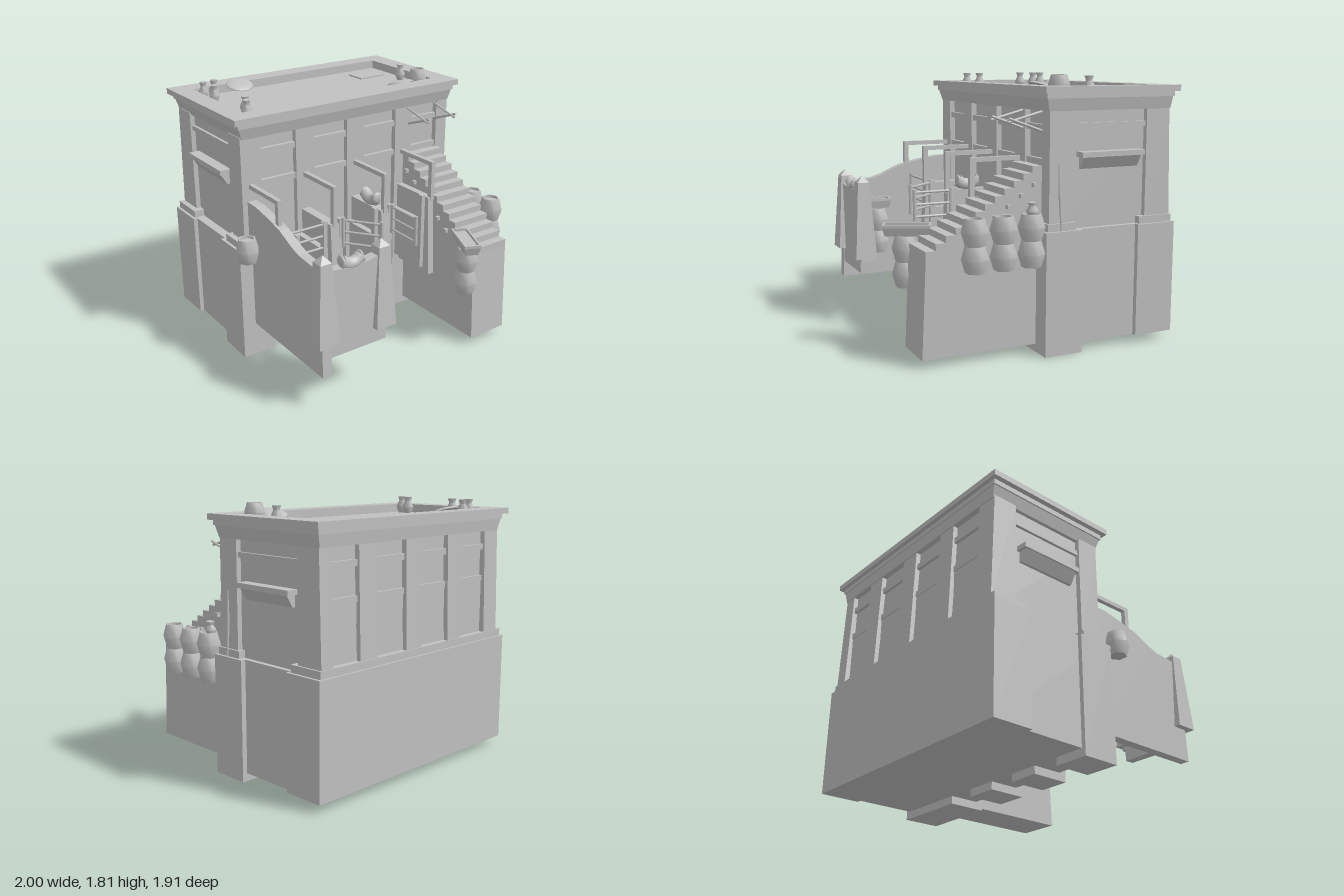
import * as THREE from 'three';
import { toCreasedNormals } from 'three/addons/utils/BufferGeometryUtils.js';

export function createModel() {
  const root = new THREE.Group();
  root.name = 'house';
  const clay = new THREE.MeshStandardMaterial({ color: 0xc0c0c0 });
  clay.name = 'pale clay';

  function add(name, geo, parent = root) {
    const m = new THREE.Mesh(geo, clay);
    m.name = name;
    parent.add(m);
    return m;
  }

  // Block between two rectangles [x0, x1, z0, z1], so it can taper
  function block(name, y0, y1, low, high = low, parent = root) {
    const g = new THREE.BoxGeometry(1, 1, 1);
    const p = g.attributes.position;
    for (let i = 0; i < p.count; i++) {
      const up = p.getY(i) > 0;
      const r = up ? high : low;
      p.setXYZ(i, p.getX(i) < 0 ? r[0] : r[1], up ? y1 : y0, p.getZ(i) < 0 ? r[2] : r[3]);
    }
    g.computeVertexNormals();
    return add(name, g, parent);
  }

  // Side profile of [z, y] points, extruded along x
  function slab(name, pts, x0, x1) {
    const s = new THREE.Shape(pts.map(([z, y]) => new THREE.Vector2(z, y)));
    const g = new THREE.ExtrudeGeometry(s, { depth: x1 - x0, bevelEnabled: false });
    g.rotateY(-Math.PI / 2).translate(x1, 0, 0);
    return add(name, g);
  }

  function stick(name, a, b, r0, r1 = r0, sides = 6) {
    const A = new THREE.Vector3(...a), B = new THREE.Vector3(...b);
    const m = add(name, new THREE.CylinderGeometry(r1, r0, A.distanceTo(B), sides));
    m.position.copy(A).add(B).multiplyScalar(0.5);
    m.quaternion.setFromUnitVectors(new THREE.Vector3(0, 1, 0), B.sub(A).normalize());
    return m;
  }

  function lathe(name, pts, x, y, z) {
    const g = new THREE.LatheGeometry(pts.map(([r, h]) => new THREE.Vector2(r, h)), 6);
    g.rotateY(Math.PI / 6);
    add(name, toCreasedNormals(g, 1.1)).position.set(x, y, z);
  }
  const barrel = (x, y, z, r = 0.088, h = 0.17) => lathe('barrel',
    [[0, 0], [r * 0.72, 0], [r, h * 0.5], [r * 0.72, h], [r * 0.6, h], [r * 0.58, h - 0.02], [0, h - 0.02]], x, y, z);
  const pot = (x, y, z, r = 0.042, h = 0.12) => lathe('smallPot',
    [[0, 0], [r * 0.6, 0], [r, h * 0.4], [r * 0.5, h * 0.75], [r * 0.72, h], [0, h]], x, y, z);

  // Base with piers, front feet and a ledge
  block('baseCore', 0.055, 0.82, [-0.9, 0.9, -0.93, -0.02]);
  block('baseBack', 0.055, 0.82, [-0.93, 0.935, -0.95, -0.66]);
  for (const [a, b] of [[-0.93, -0.68], [-0.48, -0.26], [-0.055, 0.17], [0.38, 0.935]])
    block('basePier', 0, 0.82, [a, b, -0.235, 0.035]);
  block('ledgeBack', 0.82, 0.87, [-0.91, 0.915, -0.935, -0.68]);
  block('ledgeLeftFront', 0.82, 0.87, [0.6, 0.915, -0.19, 0.015]);
  block('ledgeRightFront', 0.82, 0.87, [-0.91, -0.7, -0.19, 0.015]);

  // Upper storey: recessed core, pilasters and cross beams
  block('upperCore', 0.8, 1.6, [-0.835, 0.865, -0.875, -0.04]);
  const pilasters = [[-0.87, -0.72], [-0.445, -0.3], [-0.02, 0.13], [0.41, 0.565], [0.8, 0.9]];
  pilasters.forEach(([a, b], i) => {
    const corner = i === 0 || i === 4;
    block('frontPilaster', 0.8, 1.6, [a, b, corner ? -0.165 : -0.06, 0]);
    block('backPilaster', 0.82, 1.6, [a, b, corner ? -0.73 : -0.9, -0.93].map((v, k, r) => k < 2 ? v : r[5 - k]),
      [a, b, -0.908, corner ? -0.73 : -0.87]);
  });
  for (const y of [1.235, 1.455]) {
    block('frontBeam', y, y + 0.04, [-0.8, 0.85, -0.06, -0.012]);
    block('backBeam', y, y + 0.04, [-0.8, 0.85, -0.897, -0.86]);
  }
  block('backLowerPanel', 0.82, 1.235, [-0.8, 0.85, -0.89, -0.86]);

  // Side beams and window hoods
  for (const [x, s] of [[0.865, 1], [-0.835, -1]]) {
    const span = (d0, d1) => s > 0 ? [x + d0, x + d1] : [x - d1, x - d0];
    block('sideBeam', 1.47, 1.505, [...span(-0.02, 0.02), -0.74, -0.16]);
    block('sideHoodTop', 1.288, 1.322, [...span(-0.02, 0.08), -0.69, -0.215]);
    block('sideHoodUnderside', 1.21, 1.288, [...span(-0.02, 0.02), -0.67, -0.235], [...span(-0.02, 0.068), -0.67, -0.235]);
  }

  // Cornice, roof floor and open rim
  block('cornice', 1.585, 1.68, [-0.86, 0.9, -0.915, 0.005], [-0.89, 0.92, -0.925, 0.03]);
  function rim(name, x0, x1, z0, z1, y, h) {
    const rect = (C, a, b, c, d) => new C([[a, c], [b, c], [b, d], [a, d]].map(p => new THREE.Vector2(...p)));
    const s = rect(THREE.Shape, x0, x1, -z1, -z0);
    s.holes.push(rect(THREE.Path, -0.79, 0.81, 0.085, 0.815));
    add(name, new THREE.ExtrudeGeometry(s, { depth: h, bevelEnabled: false }).rotateX(-Math.PI / 2).translate(0, y, 0));
  }
  rim('corniceBand', -0.895, 0.925, -0.93, 0.033, 1.665, 0.035);
  rim('roofRim', -0.93, 0.955, -0.957, 0.058, 1.7, 0.04);
  block('roofHatch', 1.68, 1.69, [0.5, 0.72, -0.71, -0.55]);

  // Roof pots and leaning baskets
  for (const [x, z] of [[-0.74, -0.75], [-0.65, -0.765], [-0.72, -0.62], [-0.685, -0.24], [-0.725, -0.15], [0.745, -0.375]])
    pot(x, 1.68, z);
  barrel(0.735, 1.68, -0.155, 0.072, 0.13);
  for (const [x, z, s] of [[-0.44, -0.77, 1], [0.555, -0.13, -1]]) {
    const g = new THREE.SphereGeometry(0.105, 14, 5, 0, Math.PI * 2, 0, Math.PI / 2).scale(1, 0.22, 0.87);
    const m = add('basket', g);
    const cap = add('basketUnderside', new THREE.CircleGeometry(0.105, 14).rotateX(Math.PI / 2).scale(1, 1, 0.87), m);
    cap.position.y = 0;
    m.position.set(x, 1.73, z);
    m.rotation.x = s * 0.3;
  }

  // Stairs with side pegs
  const steps = 12, run = 0.8 / steps, rise = 0.535 / steps;
  const profile = [[0, 0.055], [0.83, 0.055], [0.8, 0.7]];
  for (let i = 0; i < steps; i++) {
    const z = 0.8 - i * run, y = 0.7 + (i + 1) * rise;
    profile.push([z, y], [z - run, y]);
  }
  slab('stairs', profile, 0.49, 0.8);
  for (let i = 0; i < 6; i++) {
    const z = 0.06 + i * 0.092, y = 1.115 - i * 0.064;
    block('stairPeg', y - 0.013, y + 0.013, [0.465, 0.83, z - 0.013, z + 0.013]);
  }

  // Fins in front of each pier, with post and beam
  [-0.8, -0.375, 0.05, 0.475].forEach((x, i) => {
    if (i) {
      slab('fin', [[0, 0.4], [0.39, 0.4], [0.355, 1], [0, 1]], x - 0.033, x + 0.033);
      for (const s of [-1, 1]) {
        block('gatePost', 0.45, 1.02, [x + s * 0.063 - 0.015, x + s * 0.063 + 0.015, 0.3, 0.34]);
        block('gatePostFoot', 0.45, 0.82, [x + s * 0.055 - 0.022, x + s * 0.055 + 0.022, 0, 0.32]);
      }
    }
    block('beamPost', 0.98, 1.27, [x - 0.016, x + 0.016, 0.33, 0.365]);
    block('beam', 1.24, 1.27, [x - 0.016, x + 0.016, -0.02, 0.365]);
  });

  // Long curved wall at the right end and the sagging front wall
  slab('curvedWall', [[0, 0.245], [0.885, 0.245], [0.86, 0.98], [0.63, 1], [0.55, 1.025], [0.4, 1.09],
    [0.25, 1.125], [0.1, 1.15], [0, 1.15]], -0.833, -0.765);
  const front = new THREE.Shape();
  front.moveTo(-0.8, 0.365);
  front.lineTo(-0.335, 0.365);
  front.lineTo(-0.335, 0.45);
  front.lineTo(-0.305, 0.45);
  front.lineTo(-0.34, 0.99);
  front.quadraticCurveTo(-0.6, 0.93, -0.82, 0.99);
  add('frontWall', new THREE.ExtrudeGeometry(front, { depth: 0.07, bevelEnabled: false, curveSegments: 8 }).translate(0, 0, 0.805));

  // Tapered end pillars
  for (const x of [-0.8, -0.36]) {
    const rect = r => [x - r, x + r, 0.843 - r, 0.843 + r];
    block('pillar', 0.475, 1.03, rect(0.078), rect(0.042));
    block('pillarCap', 1.03, 1.075, rect(0.042), rect(0.002));
  }

  // Draped bundles: bent tubes laid over the walls
  function bundle(x, y, z, turn) {
    const path = new THREE.CatmullRomCurve3([-0.075, -0.04, 0, 0.04, 0.075].map(
      v => new THREE.Vector3(v, v * v * 6, 0)));
    const g = new THREE.Group();
    g.name = 'bundle';
    add('bundleBody', new THREE.TubeGeometry(path, 8, 0.042, 8), g);
    for (const s of [-1, 1]) {
      const e = add('bundleEnd', new THREE.SphereGeometry(0.043, 8, 6), g);
      e.scale.x = 0.35;
      e.position.set(s * 0.07, 0.032, 0);
    }
    g.position.set(x, y, z);
    g.rotation.y = turn;
    root.add(g);
  }
  bundle(-0.59, 0.965, 0.84, 0);
  bundle(0.05, 1.03, 0.195, Math.PI / 2);

  // Ladder-like gates
  function gate(x0, z0, x1, z1) {
    for (const t of [0, 1]) {
      const x = x0 + (x1 - x0) * t, z = z0 + (z1 - z0) * t;
      stick('gateUpright', [x, 0.81, z], [x, 1.025, z], 0.014);
    }
    for (const y of [0.835, 0.92, 1.005]) stick('gateRail', [x0, y, z0], [x1, y, z1], 0.009);
  }
  gate(-0.75, 0.325, -0.43, 0.325);
  gate(-0.295, 0.34, -0.13, 0.555);
  gate(0.122, 0.35, 0.115, 0.615);

  // Barrels, stacked and single
  for (const z of [0.13, 0.325, 0.52]) {
    barrel(0.91, 0.61, z);
    barrel(0.91, 0.78, z);
  }
  pot(0.9, 0.93, 0.12, 0.042, 0.09);
  barrel(-0.915, 0.78, 0.12, 0.085);

  // Troughs on stacked barrels
  for (const [x, z, bx, bz, turn, len] of [[0.425, 0.785, 0.425, 0.8, -0.43, 0.31], [-0.69, 0.65, -0.66, 0.64, 0, 0.235]]) {
    barrel(bx, 0.44, bz);
    barrel(bx, 0.61, bz);
    const t = new THREE.Group();
    t.name = 'trough';
    const w = 0.058, l = len / 2;
    block('troughBody', 0.78, 0.835, [-w * 0.75, w * 0.75, -l * 0.9, l * 0.9], [-w, w, -l, l], t);
    for (const s of [-1, 1]) {
      block('troughSide', 0.835, 0.855, [s * (w - 0.006) - 0.006, s * (w - 0.006) + 0.006, -l, l], undefined, t);
      block('troughEnd', 0.835, 0.855, [-w, w, s * (l - 0.006) - 0.006, s * (l - 0.006) + 0.006], undefined, t);
    }
    t.position.set(x, 0, z);
    t.rotation.y = turn;
    root.add(t);
  }

  // Crossed awning sticks and a leaning pole
  for (const x of [0.53, 0.782]) {
    stick('awningStickUpper', [x - 0.006, 1.58, -0.02], [x - 0.006, 1.515, 0.23], 0.009);
    stick('awningStickLower', [x + 0.006, 1.45, -0.02], [x + 0.006, 1.54, 0.23], 0.009);
  }
  stick('leaningPole', [0.922, 0.82, -0.08], [0.905, 1.05, -0.075], 0.006, 0.011);
  stick('leaningPoleTip', [0.905, 1.05, -0.075], [0.898, 1.26, -0.07], 0.011, 0.006);

  return root;
}
